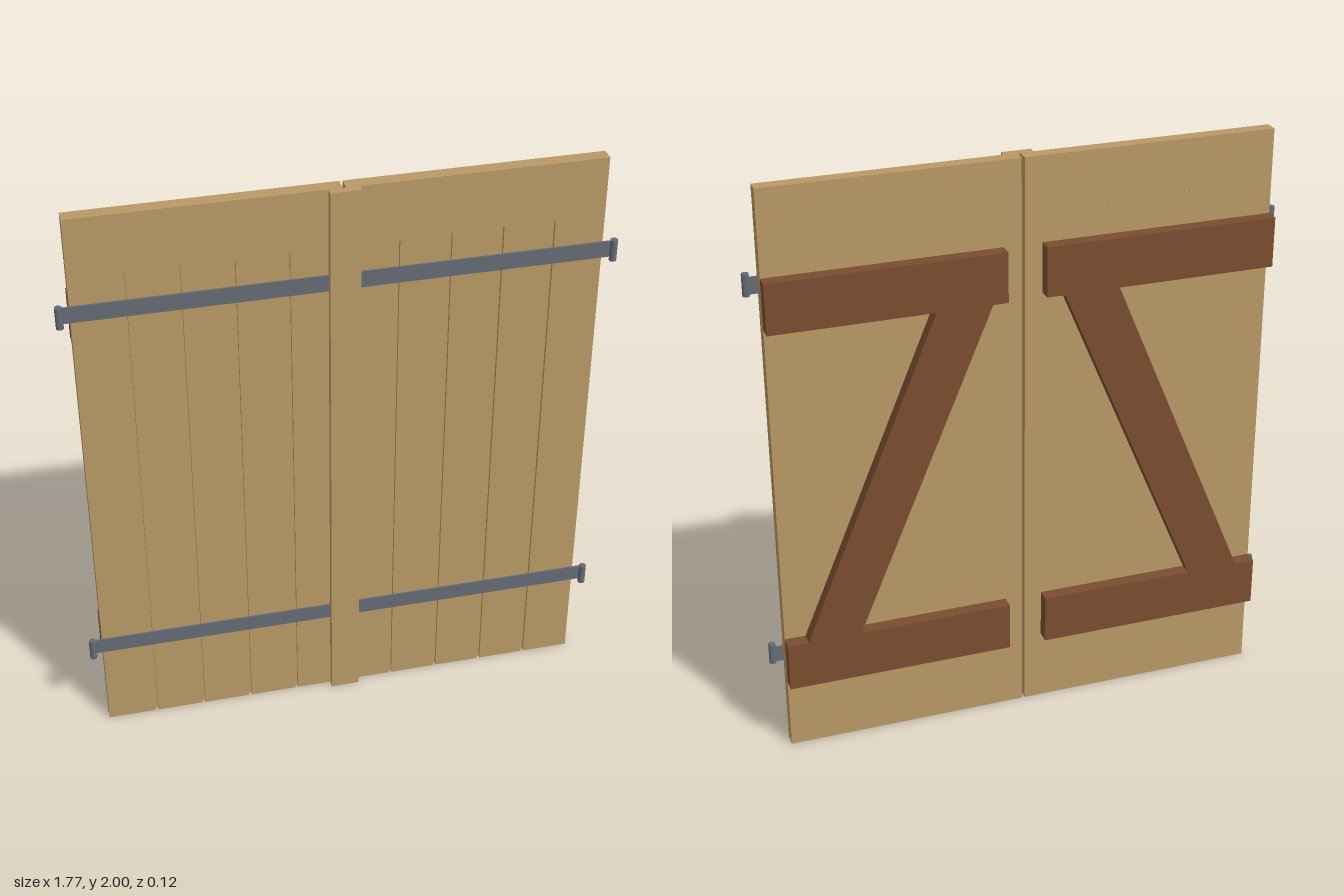
import * as THREE from 'three';

const wood = new THREE.MeshStandardMaterial({ color: 0xba9a66 });
const darkWood = new THREE.MeshStandardMaterial({ color: 0x7a4e2f });
const metal = new THREE.MeshStandardMaterial({ color: 0x666b75 });

// depth levels, back to front
const BRACE = -0.058, BACK = -0.012, FRONT = 0.033, STRIP = 0.058;
const OUTER = 0.84, PLANKS = 5;

function add(parent, name, geometry, material) {
  const mesh = new THREE.Mesh(geometry, material);
  mesh.name = name;
  parent.add(mesh);
  return mesh;
}

// box given by its limits
function block(parent, name, material, x0, x1, y0, y1, z0, z1) {
  const g = new THREE.BoxGeometry(Math.abs(x1 - x0), y1 - y0, z1 - z0);
  g.translate((x0 + x1) / 2, (y0 + y1) / 2, (z0 + z1) / 2);
  return add(parent, name, g, material);
}

// low round head lying on a front or back surface
function nail(parent, material, x, y, z, r = 0.006) {
  const g = new THREE.CylinderGeometry(r, r, 0.004, 10);
  g.rotateX(Math.PI / 2);
  add(parent, 'nailHead', g, material).position.set(x, y, z);
}

// one shutter leaf: side is +1 or -1, inner is its distance from the middle
function createLeaf(side, inner) {
  const leaf = new THREE.Group();
  leaf.name = side > 0 ? 'leftLeaf' : 'rightLeaf';
  const step = (OUTER - inner) / PLANKS;

  // planked panel with grooves on the front, plain above them
  const groove = 0.005, depth = 0.012, grooveTop = 1.8;
  const section = new THREE.Shape();
  section.moveTo(side * inner, -BACK);
  section.lineTo(side * inner, -FRONT);
  for (let i = 1; i < PLANKS; i++) {
    const x = inner + i * step;
    section.lineTo(side * (x - groove), -FRONT);
    section.lineTo(side * (x - groove), -FRONT + depth);
    section.lineTo(side * (x + groove), -FRONT + depth);
    section.lineTo(side * (x + groove), -FRONT);
  }
  section.lineTo(side * OUTER, -FRONT);
  section.lineTo(side * OUTER, -BACK);
  const planks = new THREE.ExtrudeGeometry(section, { depth: grooveTop, bevelEnabled: false });
  planks.rotateX(-Math.PI / 2);
  add(leaf, 'planks', planks, wood);
  block(leaf, 'topBoard', wood, side * inner, side * OUTER, grooveTop, 2, BACK, FRONT);
  block(leaf, 'topDowel', wood, side * (OUTER - 0.01), side * (OUTER + 0.001), 1.845, 1.851, 0.002, 0.02);

  // two battens and the diagonal brace on the back
  const brace = new THREE.Group();
  brace.name = 'brace';
  leaf.add(brace);
  const start = inner + 0.059;
  for (const [y0, y1] of [[0.255, 0.425], [1.545, 1.715]]) {
    block(brace, 'batten', darkWood, side * start, side * OUTER, y0, y1, BRACE, BACK);
  }
  const diagonal = new THREE.Shape([
    [0.59, 0.425], [0.77, 0.425], [0.305, 1.545], [0.12, 1.545],
  ].map(([x, y]) => new THREE.Vector2(side * x, y)));
  const diagonalGeometry = new THREE.ExtrudeGeometry(diagonal, { depth: BACK - BRACE, bevelEnabled: false });
  add(brace, 'diagonal', diagonalGeometry.translate(0, 0, BRACE), darkWood);

  // nails centred on each plank
  for (let i = 0; i < PLANKS; i++) {
    const x = inner + (i + 0.5) * step;
    nail(brace, darkWood, side * x, 0.34, BRACE);
    nail(brace, darkWood, side * x, 1.63, BRACE);
    if (i > 0 && i < PLANKS - 1) {
      nail(brace, darkWood, side * x, 1.545 - (x - 0.21) * 2.38, BRACE);
    }
    for (const d of [-0.03, 0.03]) nail(leaf, wood, side * (x + d), 1.825, BACK);
  }

  // strap hinges
  for (const y of [0.343, 1.677]) {
    const hinge = new THREE.Group();
    hinge.name = 'hinge';
    leaf.add(hinge);
    block(hinge, 'strap', metal, side * (inner + 0.044), side * 0.874, y - 0.028, y + 0.028, FRONT, FRONT + 0.006);
    add(hinge, 'knuckle', new THREE.CylinderGeometry(0.012, 0.012, 0.074, 20), metal)
      .position.set(side * 0.874, y, 0.046);
    for (const x of [0.134, 0.28, 0.45, 0.622, 0.707, 0.79]) {
      nail(hinge, metal, side * x, y, FRONT + 0.006);
    }
  }
  return leaf;
}

export function createModel() {
  const model = new THREE.Group();
  model.name = 'shutters';
  model.add(createLeaf(1, 0.01), createLeaf(-1, 0));

  // cover strip over the middle joint
  const cover = new THREE.Group();
  cover.name = 'coverStrip';
  model.add(cover);
  block(cover, 'strip', wood, -0.044, 0.054, 0, 2, FRONT, STRIP);
  for (let i = 0; i < 5; i++) nail(cover, wood, -0.02, 0.135 + i * 0.4325, STRIP - 0.001);
  return model;
}
